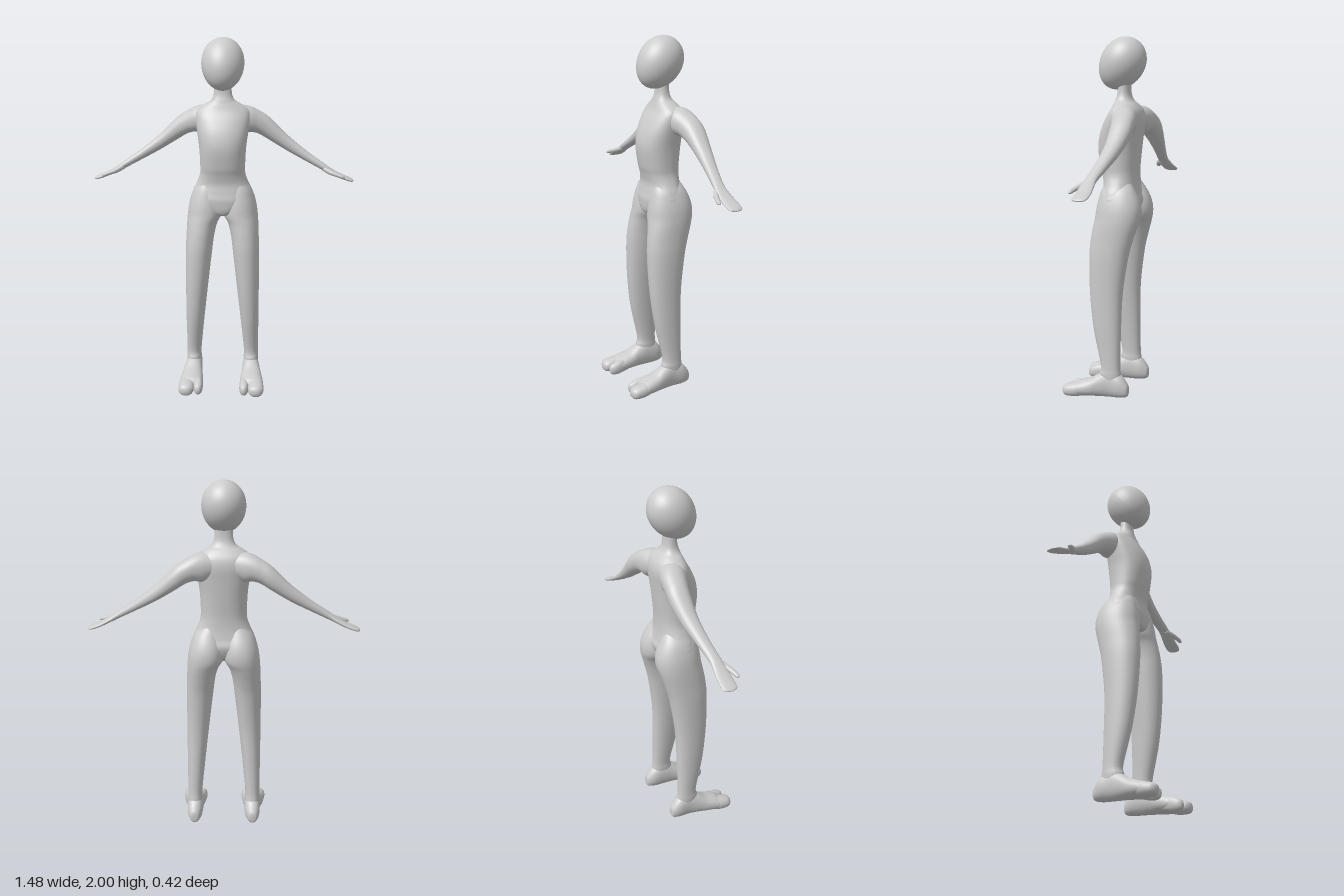
import * as THREE from 'three';

const skin = new THREE.MeshStandardMaterial({ color: 0xcccccc });
const AXES = { x: [0, 1, 2], y: [1, 0, 2], z: [2, 0, 1] };

// Smooth closed tube along an axis. Each section is [position, a0, a1, b0, b1]:
// the extents of a soft oval in the two other axes (in x, y, z order).
function loft(name, axis, sections, { side = 1, steps = 6, sides = 36, power = 2.2 } = {}) {
  const [iT, iA, iB] = AXES[axis];
  const curve = (f) => new THREE.CatmullRomCurve3(sections.map(f), false, 'catmullrom', 0.5);
  const curveA = curve((s) => new THREE.Vector3(s[0], s[1], s[2]));
  const curveB = curve((s) => new THREE.Vector3(s[0], s[3], s[4]));
  const rings = (sections.length - 1) * steps;
  const round = (v) => Math.sign(v) * Math.abs(v) ** (2 / power);
  const positions = [];
  const add = (t, a, b) => {
    const p = [];
    p[iT] = t; p[iA] = a; p[iB] = b;
    positions.push(p[0] * side, p[1], p[2]);
  };
  for (let i = 0; i <= rings; i++) {
    const [t, a0, a1] = curveA.getPoint(i / rings).toArray();
    const [, b0, b1] = curveB.getPoint(i / rings).toArray();
    for (let j = 0; j < sides; j++) {
      const ang = (j / sides) * Math.PI * 2;
      add(t, (a0 + a1) / 2 + ((a1 - a0) / 2) * round(Math.cos(ang)),
        (b0 + b1) / 2 + ((b1 - b0) / 2) * round(Math.sin(ang)));
    }
  }
  // centre points of the two ends
  for (const s of [sections[0], sections.at(-1)]) add(s[0], (s[1] + s[2]) / 2, (s[3] + s[4]) / 2);

  const index = [];
  const flip = (axis === 'y') !== (side < 0);
  const tri = (a, b, c) => (flip ? index.push(a, c, b) : index.push(a, b, c));
  const last = rings * sides, end = last + sides;
  for (let j = 0; j < sides; j++) {
    const k = (j + 1) % sides;
    for (let i = 0; i < last; i += sides) {
      tri(i + j, i + k, i + sides + k);
      tri(i + j, i + sides + k, i + sides + j);
    }
    tri(end, k, j);
    tri(end + 1, last + j, last + k);
  }
  const geo = new THREE.BufferGeometry();
  geo.setAttribute('position', new THREE.Float32BufferAttribute(positions, 3));
  geo.setIndex(index);
  geo.computeVertexNormals();
  const mesh = new THREE.Mesh(geo, skin);
  mesh.name = name;
  return mesh;
}

// Egg-shaped head, narrower at the chin and leaning back
function makeHead() {
  const geo = new THREE.SphereGeometry(1, 48, 32);
  const p = geo.attributes.position;
  for (let i = 0; i < p.count; i++) {
    const k = 1 + 0.06 * p.getY(i);
    p.setXYZ(i, p.getX(i) * k * 0.118, p.getY(i) * 0.151, p.getZ(i) * k * 0.123);
  }
  geo.computeVertexNormals();
  const head = new THREE.Mesh(geo, skin);
  head.name = 'head';
  head.position.set(0, 1.857, -0.063);
  head.rotation.x = -0.6;
  return head;
}

// Pelvis, waist, chest and neck: [y, half width, back, front]
function makeTorso() {
  const rows = [
    [1.01, 0.01, -0.1, -0.03], [1.03, 0.08, -0.145, 0.03], [1.1, 0.172, -0.178, 0.042],
    [1.15, 0.168, -0.168, 0.034], [1.2, 0.145, -0.16, 0.027], [1.25, 0.128, -0.158, 0.036],
    [1.3, 0.126, -0.16, 0.05], [1.4, 0.131, -0.17, 0.063], [1.48, 0.142, -0.178, 0.05],
    [1.55, 0.152, -0.184, 0.02], [1.6, 0.148, -0.175, -0.01], [1.635, 0.105, -0.152, -0.024],
    [1.66, 0.066, -0.127, -0.032], [1.7, 0.05, -0.113, -0.042], [1.78, 0.047, -0.11, -0.045],
  ];
  return loft('torso', 'y', rows.map(([y, w, b, f]) => [y, -w, w, b, f]), { sides: 48, power: 2.3 });
}

function makeArm(side) {
  const arm = new THREE.Group();
  arm.name = side > 0 ? 'leftArm' : 'rightArm';
  // shoulder to fingertips
  arm.add(loft('armAndHand', 'x', [
    [0.05, 1.5, 1.62, -0.175, -0.06], [0.11, 1.47, 1.628, -0.192, -0.05],
    [0.155, 1.475, 1.618, -0.2, -0.058], [0.2, 1.464, 1.595, -0.205, -0.075],
    [0.26, 1.428, 1.555, -0.208, -0.09], [0.36, 1.368, 1.458, -0.19, -0.1],
    [0.47, 1.31, 1.37, -0.164, -0.095], [0.56, 1.264, 1.308, -0.147, -0.084],
    [0.61, 1.24, 1.273, -0.151, -0.078], [0.66, 1.218, 1.244, -0.158, -0.077],
    [0.7, 1.204, 1.227, -0.16, -0.077], [0.728, 1.198, 1.214, -0.152, -0.084],
    [0.739, 1.201, 1.205, -0.125, -0.108],
  ], { side }));
  arm.add(loft('thumb', 'x', [
    [0.56, 1.262, 1.29, -0.115, -0.088], [0.6, 1.244, 1.272, -0.094, -0.06],
    [0.64, 1.234, 1.257, -0.073, -0.046], [0.67, 1.226, 1.246, -0.063, -0.04],
    [0.681, 1.228, 1.238, -0.057, -0.045], [0.685, 1.231, 1.233, -0.052, -0.049],
  ], { side, sides: 20 }));
  return arm;
}

function makeLeg(side) {
  const leg = new THREE.Group();
  leg.name = side > 0 ? 'leftLeg' : 'rightLeg';
  // ankle up to hip and buttock
  leg.add(loft('leg', 'y', [
    [0.06, 0.13, 0.205, -0.12, -0.02], [0.14, 0.125, 0.21, -0.122, 0.002],
    [0.2, 0.125, 0.208, -0.117, -0.005], [0.4, 0.105, 0.21, -0.117, 0.04],
    [0.6, 0.083, 0.21, -0.122, 0.065], [0.8, 0.06, 0.21, -0.148, 0.073],
    [0.9, 0.047, 0.206, -0.172, 0.067], [0.97, 0.028, 0.203, -0.193, 0.057],
    [1.02, 0, 0.199, -0.207, 0.05], [1.07, -0.005, 0.192, -0.208, 0.044],
    [1.12, 0, 0.179, -0.195, 0.034], [1.17, 0.015, 0.157, -0.17, 0.02],
    [1.22, 0.03, 0.115, -0.14, 0],
  ], { side }));
  // heel to ball of the foot
  leg.add(loft('foot', 'z', [
    [-0.168, 0.16, 0.178, 0.045, 0.075], [-0.16, 0.143, 0.195, 0.025, 0.098],
    [-0.12, 0.125, 0.21, 0.015, 0.145], [-0.06, 0.12, 0.212, 0.012, 0.17],
    [0, 0.117, 0.222, 0.01, 0.145], [0.05, 0.111, 0.233, 0.008, 0.114],
    [0.1, 0.107, 0.24, 0.005, 0.097], [0.135, 0.11, 0.24, 0.006, 0.082],
    [0.152, 0.135, 0.215, 0.02, 0.06],
  ], { side }));
  // two toe lobes: [name, inner x, outer x, tip z]
  for (const [name, x0, x1, tip] of [['innerToe', 0.106, 0.157, 0.197], ['outerToe', 0.157, 0.243, 0.214]]) {
    const m = (x1 - x0) / 2;
    leg.add(loft(name, 'z', [
      [0.08, x0 + m * 0.4, x1 - m * 0.4, 0.015, 0.085], [0.13, x0, x1, 0.002, 0.082],
      [tip - 0.03, x0, x1, 0, 0.07], [tip - 0.008, x0 + m * 0.35, x1 - m * 0.35, 0.008, 0.058],
      [tip, x0 + m * 0.8, x1 - m * 0.8, 0.025, 0.04],
    ], { side, sides: 24 }));
  }
  return leg;
}

export function createModel() {
  const model = new THREE.Group();
  model.name = 'figure';
  model.add(makeHead(), makeTorso());
  for (const side of [1, -1]) model.add(makeArm(side), makeLeg(side));
  return model;
}
